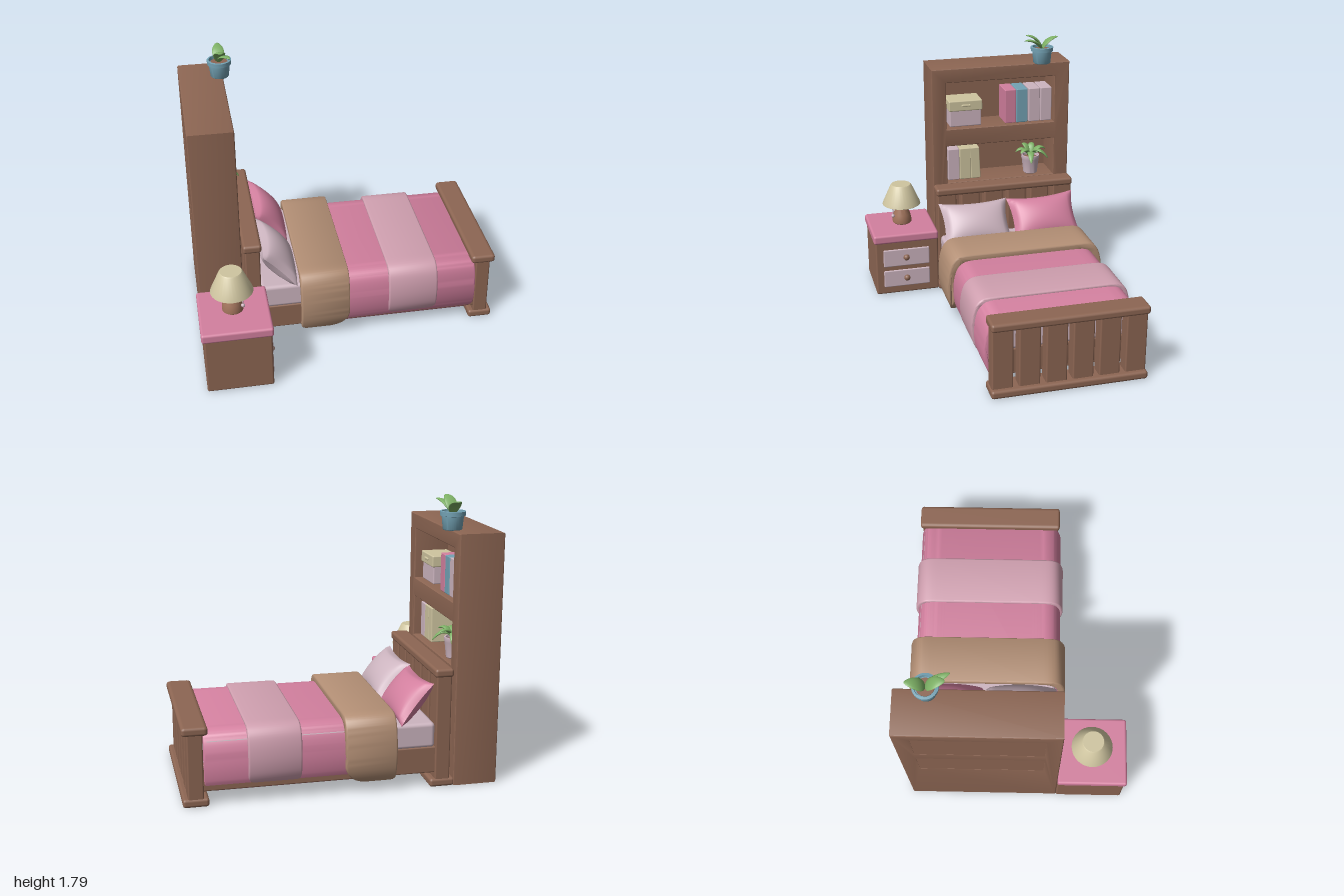
import * as THREE from 'three';
import { toCreasedNormals } from 'three/addons/utils/BufferGeometryUtils.js';
import { RoundedBoxGeometry } from 'three/addons/geometries/RoundedBoxGeometry.js';

const mat = (name, color) => Object.assign(new THREE.MeshStandardMaterial({ color }), { name });

export function createModel() {
  const M = {
    wood: mat('wood brown', 0x8d6653), pink: mat('pink', 0xd3809f), lilac: mat('pale lilac', 0xcdb5c0),
    rose: mat('dusty rose', 0xd0a0b0), tan: mat('tan', 0xb38f75), clay: mat('clay', 0xa3755d),
    cream: mat('cream', 0xcfc5a0), blue: mat('blue', 0x74a3b5), green: mat('leaf green', 0x7db065),
  };
  const root = new THREE.Group();
  root.name = 'bedroomSet';
  const group = (name) => {
    const g = new THREE.Group();
    g.name = name;
    root.add(g);
    return g;
  };
  const add = (parent, name, geo, material, x = 0, y = 0, z = 0) => {
    const m = new THREE.Mesh(geo, material);
    m.name = name;
    m.position.set(x, y, z);
    parent.add(m);
    return m;
  };
  // Rounded box given by its limits
  const box = (parent, name, material, [x0, x1], [y0, y1], [z0, z1], r = 0.008) =>
    add(parent, name, new RoundedBoxGeometry(x1 - x0, y1 - y0, z1 - z0, 2, r), material,
      (x0 + x1) / 2, (y0 + y1) / 2, (z0 + z1) / 2);
  const lathe = (pts) => toCreasedNormals(
    new THREE.LatheGeometry(pts.map(([r, y]) => new THREE.Vector2(r, y)), 32), 0.6);
  // Shape drawn in (-z, y), extruded along +x from 0 to length
  const extrudeX = (shape, length, bevel) => {
    const g = new THREE.ExtrudeGeometry(shape, {
      depth: length - 2 * bevel, bevelEnabled: true, bevelSize: bevel, bevelThickness: bevel,
      bevelOffset: -bevel, bevelSegments: 3, curveSegments: 8,
    });
    return g.translate(0, 0, bevel).rotateY(Math.PI / 2);
  };
  const rect = (C, z0, z1, y0, y1) => {
    const s = new C();
    s.moveTo(-z1, y0).lineTo(-z0, y0).lineTo(-z0, y1).lineTo(-z1, y1).closePath();
    return s;
  };

  // Bookcase: front carcass with two openings, and a back panel
  const bookcase = group('bookcase');
  const face = rect(THREE.Shape, -0.71, 0.285, 0.01, 1.6);
  face.holes.push(rect(THREE.Path, -0.6, 0.18, 1.165, 1.5), rect(THREE.Path, -0.6, 0.18, 0.768, 1.04));
  add(bookcase, 'carcass', toCreasedNormals(extrudeX(face, 0.285, 0.01), 0.5), M.wood, -0.977);
  box(bookcase, 'backPanel', M.wood, [-0.975, -0.925], [0.02, 1.59], [-0.7, 0.275]);

  // Books and storage box
  const books = group('books');
  [['pink', -0.25], ['blue', -0.335], ['lilac', -0.425], ['lilac', -0.512]].forEach(([c, z]) =>
    box(books, 'upperBook', M[c], [-0.9, -0.73], [1.165, 1.41], [z - 0.082, z], 0.006));
  [['lilac', 0.165, 0], ['cream', 0.08, 0], ['cream', 0.0, 0.04]].forEach(([c, z, tilt]) => {
    const b = box(books, 'lowerBook', M[c], [-0.9, -0.74], [0.768, 1.0], [z - (tilt ? 0.068 : 0.082), z], 0.006);
    b.rotation.x = tilt;
  });
  const storage = group('storageBox');
  box(storage, 'storageBody', M.lilac, [-0.9, -0.74], [1.165, 1.29], [-0.08, 0.148]);
  box(storage, 'storageLid', M.cream, [-0.91, -0.73], [1.28, 1.355], [-0.086, 0.155]);
  box(storage, 'storageHandle', M.cream, [-0.735, -0.72], [1.312, 1.328], [0.0, 0.065], 0.006);

  // Headboard and footboard: rails joined by six upright slats
  const board = (name, x, top) => {
    const g = group(name);
    box(g, 'bottomRail', M.wood, [x - 0.08, x + 0.08], [0.008, 0.062], [-0.71, 0.288], 0.018);
    box(g, 'topRail', M.wood, [x - 0.06, x + 0.06], [top - 0.055, top], [-0.71, 0.288], 0.018);
    for (let i = 0; i < 6; i++) {
      const z = -0.703 + i * 0.1695;
      box(g, 'slat', M.wood, [x - 0.048, x + 0.048], [0.04, top - 0.03], [z, z + 0.134], 0.01);
    }
    return g;
  };
  board('headboard', -0.622, 0.772);
  const foot = board('footboard', 0.916, 0.51);
  foot.children[1].scale.x = 1.33;

  // Bed frame and mattress
  const bed = group('bed');
  box(bed, 'bedFrame', M.wood, [-0.6, 0.872], [0.1, 0.27], [-0.69, 0.268]);
  box(bed, 'mattress', M.lilac, [-0.575, 0.868], [0.262, 0.425], [-0.688, 0.266], 0.025);

  // Draped covers: arched shell with rounded lower corners
  const drape = (name, material, x0, x1, half, top, bottom, thick, radii) => {
    const arch = (w, t) => {
      const h = t - bottom;
      const side = [[w - 0.04, 0], [w - 0.012, 0.18], [w, 0.42], [w - 0.008, 0.68], [w - 0.035, 0.88], [w - 0.09, 0.985], [w - 0.2, 1]]
        .map(([a, f]) => new THREE.Vector2(a, bottom + f * h));
      const right = new THREE.SplineCurve(side).getPoints(28);
      return [...right, ...right.map((p) => new THREE.Vector2(-p.x, p.y)).reverse()];
    };
    const shape = new THREE.Shape([...arch(half, top), ...arch(half - thick, top - thick).reverse()]);
    const g = extrudeX(shape, x1 - x0, 0.012);
    const p = g.attributes.position;
    const mid = (x1 - x0) / 2;
    for (let i = 0; i < p.count; i++) {
      const right = p.getX(i) > mid;
      const R = radii[right ? 1 : 0];
      const d = Math.min(R, Math.max(0, R - (p.getY(i) - bottom)));
      const pull = R - Math.sqrt(R * R - d * d);
      p.setX(i, p.getX(i) + (right ? -pull : pull));
    }
    add(bed, name, toCreasedNormals(g, 0.8), material, x0, 0, -0.205);
  };
  drape('blanket', M.pink, -0.3, 0.865, 0.506, 0.472, 0.094, 0.045, [0.02, 0.05]);
  drape('foldedCover', M.tan, -0.32, 0.003, 0.543, 0.51, 0.085, 0.05, [0.025, 0.12]);
  drape('throwBlanket', M.rose, 0.27, 0.6, 0.523, 0.49, 0.128, 0.035, [0.025, 0.04]);

  // Pillows: puffed sheets with pinched sides, leaning on the headboard
  const pillow = (name, material, z, lean, spin, y) => {
    const g = new THREE.BoxGeometry(2, 2, 2, 20, 20, 1);
    const p = g.attributes.position;
    for (let i = 0; i < p.count; i++) {
      const u = p.getX(i), v = p.getY(i);
      const puff = Math.pow(Math.max(0, (1 - u * u) * (1 - v * v)), 0.45);
      p.setXYZ(i, 0.245 * u * (1 - 0.09 * (1 - v * v)), 0.165 * v * (1 - 0.13 * (1 - u * u)),
        p.getZ(i) * 0.085 * puff);
    }
    g.computeVertexNormals();
    g.rotateZ(spin).rotateX(-lean).rotateY(Math.PI / 2);
    add(bed, name, g, material, -0.447, y, z);
  };
  pillow('lilacPillow', M.lilac, 0.035, 0.72, 0, 0.545);
  pillow('pinkPillow', M.pink, -0.46, 0.68, 0.04, 0.545);

  // Nightstand
  const stand = group('nightstand');
  box(stand, 'cabinet', M.wood, [-0.982, -0.56], [0.012, 0.415], [0.286, 0.735], 0.012);
  box(stand, 'standTop', M.pink, [-0.998, -0.55], [0.402, 0.466], [0.285, 0.746], 0.016);
  [[0.222, 0.352], [0.065, 0.192]].forEach(([y0, y1]) => {
    box(stand, 'drawer', M.lilac, [-0.59, -0.552], [y0, y1], [0.352, 0.682], 0.008);
    add(stand, 'drawerKnob', new THREE.SphereGeometry(0.022, 20, 14), M.wood, -0.55, (y0 + y1) / 2, 0.518);
  });

  // Lamp
  const lamp = group('lamp');
  lamp.position.set(-0.78, 0.464, 0.505);
  add(lamp, 'lampBase', lathe([[0, 0], [0.055, 0], [0.067, 0.01], [0.068, 0.03], [0.06, 0.07], [0.045, 0.11], [0.036, 0.15], [0.034, 0.17], [0, 0.17]]), M.clay);
  add(lamp, 'lampShade', lathe([[0, 0.15], [0.128, 0.146], [0.135, 0.15], [0.13, 0.165], [0.075, 0.289], [0.068, 0.296], [0, 0.296]]), M.cream);
  add(lamp, 'pullChain', new THREE.CylinderGeometry(0.004, 0.004, 0.08, 8), M.lilac, 0.06, 0.12, 0.073);
  add(lamp, 'chainBall', new THREE.SphereGeometry(0.013, 14, 10), M.lilac, 0.06, 0.08, 0.073);

  // Leaf: sphere stretched along a bent midline; mid and tip are (reach, height)
  const leaf = (parent, angle, mid, tip, width) => {
    const c = new THREE.QuadraticBezierCurve(new THREE.Vector2(0, 0), new THREE.Vector2(...mid), new THREE.Vector2(...tip));
    const g = new THREE.SphereGeometry(1, 14, 16);
    const p = g.attributes.position;
    for (let i = 0; i < p.count; i++) {
      const t = THREE.MathUtils.clamp((p.getY(i) + 1) / 2, 0, 1);
      const q = c.getPoint(t), d = c.getTangent(t), off = p.getZ(i) * 0.009;
      p.setXYZ(i, p.getX(i) * width * (1 - 0.35 * t * t), q.y - d.x * off, q.x + d.y * off);
    }
    g.computeVertexNormals();
    add(parent, 'leaf', g, M.green, 0, 0, 0).rotation.y = angle;
  };
  // Pot with rim, soil and a holder for leaves; angle 0 points to +z
  const plant = (name, material, x, y, z, profile, soil) => {
    const g = group(name);
    g.position.set(x, y, z);
    add(g, 'pot', lathe(profile), material);
    add(g, 'soil', new THREE.CylinderGeometry(0.055, 0.055, 0.01, 24), M.wood, 0, soil, 0);
    const leaves = new THREE.Group();
    leaves.name = 'leaves';
    leaves.position.y = soil;
    g.add(leaves);
    return leaves;
  };
  const top = plant('topPlant', M.blue, -0.71, 1.598, -0.51,
    [[0, 0], [0.056, 0], [0.06, 0.005], [0.068, 0.085], [0.078, 0.088], [0.079, 0.115], [0.066, 0.117], [0.062, 0.095], [0, 0.095]], 0.096);
  leaf(top, 0.05, [0.035, 0.1], [0.118, 0.105], 0.042);
  leaf(top, Math.PI, [0.03, 0.08], [0.115, 0.085], 0.042);
  leaf(top, 0.4, [0.05, 0.08], [0.155, 0.08], 0.03);

  const shelf = plant('shelfPlant', M.lilac, -0.765, 0.77, -0.45,
    [[0, 0], [0.045, 0], [0.05, 0.005], [0.062, 0.105], [0.066, 0.115], [0.065, 0.135], [0.055, 0.135], [0.052, 0.115], [0, 0.115]], 0.112);
  [[0, 0.11, 0.05], [0.7, 0.12, 0.06], [1.35, 0.14, 0.0], [2.0, 0.13, 0.07], [2.7, 0.13, 0.0],
    [3.3, 0.12, 0.05], [4.3, 0.08, 0.08], [5.3, 0.08, 0.085]].forEach(([a, r, h]) =>
    leaf(shelf, a, [r * 0.45, 0.11], [r, h], 0.027));

  return root;
}
